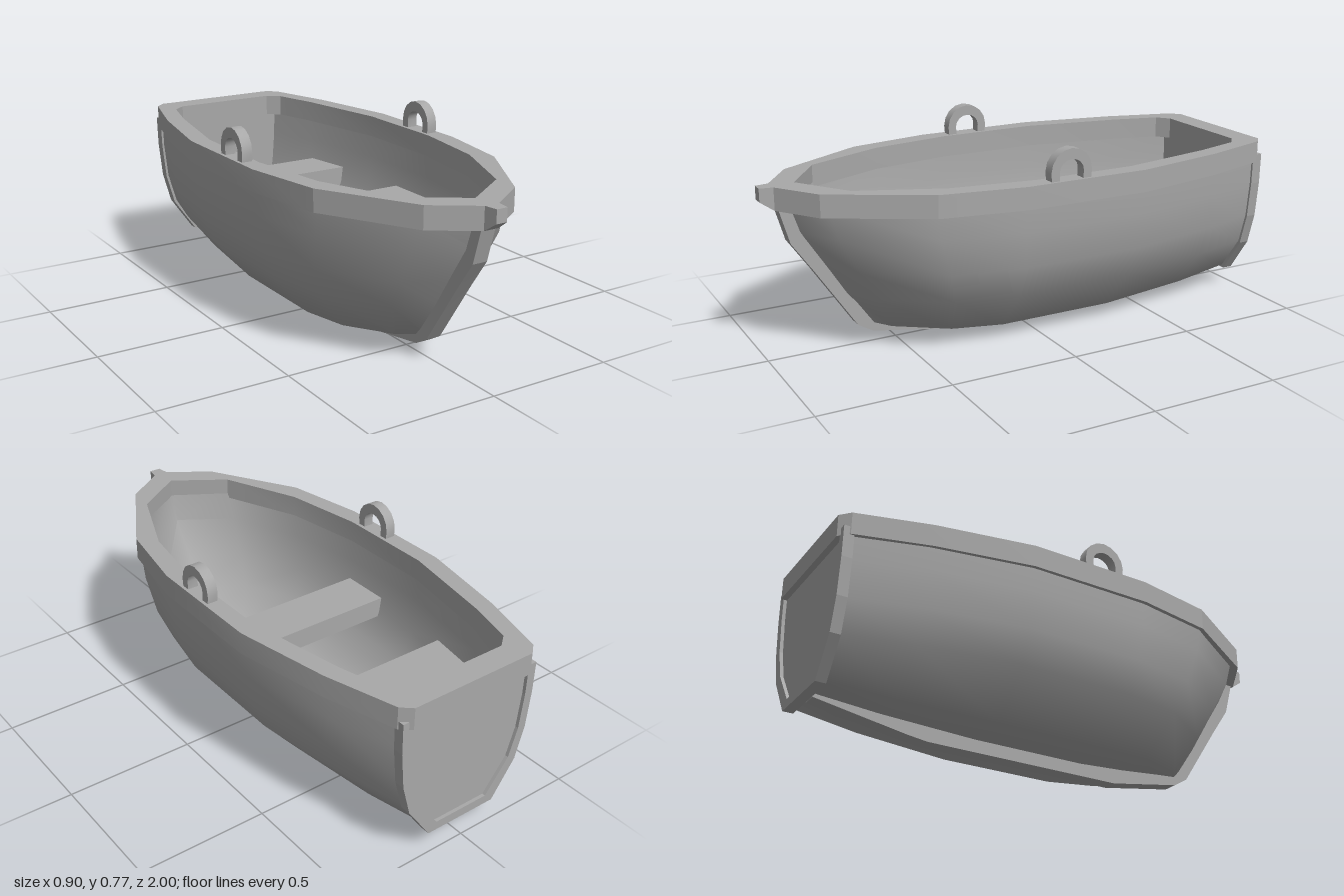
import * as THREE from 'three';
import { toCreasedNormals } from 'three/addons/utils/BufferGeometryUtils.js';

const grey = new THREE.MeshStandardMaterial({ color: 0xa8a8a8 });
grey.name = 'grey';

const shapeOf = (pts) => new THREE.Shape(pts.map(([x, y]) => new THREE.Vector2(x, y)));
// Right half of a symmetric outline, completed with its mirror image
const mirrored = (half) => [
  ...half,
  ...half.slice().reverse().filter(([x]) => x !== 0).map(([x, y]) => [-x, y]),
];
const extrude = (shape, depth, opts = {}) =>
  new THREE.ExtrudeGeometry(shape, { depth, bevelEnabled: false, curveSegments: 6, ...opts });
// Plan outline (x, z) raised into a slab
const slab = (shape, bottom, top) => extrude(shape, top - bottom).rotateX(Math.PI / 2).translate(0, top, 0);
// Side outline (z, y) given a width centred on x = 0
const sideCut = (shape, width, opts) => extrude(shape, width, opts).rotateY(-Math.PI / 2).translate(width / 2, 0, 0);

// Hull skin: each station is [z, half width at the top, chine height]
const ROW_Y = [0.6, 0.48, 0.34, 0.22];
const ROW_WIDTH = [1, 0.99, 0.94, 0.82, 0.48, 0];
const STEM_Z = [0.92, 0.88, 0.79, 0.715, 0.62, 0.6];

function halfSection([z, w, chine], stemInset, tip) {
  return ROW_WIDTH.map((f, r) => {
    const reach = (STEM_Z[r] - stemInset - 0.1) / (tip - 0.1);
    return [w * f, r < 4 ? ROW_Y[r] : chine, z > 0.1 ? 0.1 + (z - 0.1) * reach : z];
  });
}

function hullSkin(stations, stemInset, inward) {
  const tip = stations[stations.length - 1][0];
  const pos = [], idx = [];
  const cols = ROW_WIDTH.length * 2 - 1;
  stations.forEach((s, i) => {
    const half = halfSection(s, stemInset, tip);
    const ring = [...half, ...half.slice(0, -1).reverse().map(([x, y, z]) => [-x, y, z])];
    ring.forEach((p) => pos.push(...p));
    if (i === stations.length - 1) return;
    for (let k = 0; k < cols - 1; k++) {
      const a = i * cols + k, b = a + cols, c = a + 1, d = b + 1;
      if (inward) idx.push(a, c, b, b, c, d);
      else idx.push(a, b, c, b, d, c);
    }
  });
  const g = new THREE.BufferGeometry();
  g.setAttribute('position', new THREE.Float32BufferAttribute(pos, 3));
  g.setIndex(idx);
  return toCreasedNormals(g, 1.0);
}

export function createModel() {
  const boat = new THREE.Group();
  boat.name = 'rowingBoat';
  const add = (name, geometry) => {
    const m = new THREE.Mesh(geometry, grey);
    m.name = name;
    boat.add(m);
    return m;
  };

  // Outer and inner planking
  const outer = [
    [-0.96, 0.285, 0.085], [-0.7, 0.365, 0.065], [-0.32, 0.437, 0.05], [0.17, 0.432, 0.05],
    [0.49, 0.375, 0.062], [0.81, 0.185, 0.08], [0.92, 0, 0.085],
  ];
  const inner = [
    [-0.95, 0.235, 0.125], [-0.69, 0.32, 0.105], [-0.3, 0.388, 0.09], [0.1, 0.388, 0.09],
    [0.42, 0.335, 0.1], [0.73, 0.205, 0.12], [0.87, 0, 0.125],
  ];
  add('outerHull', hullSkin(outer, 0, false));
  add('innerHull', hullSkin(inner, 0.05, true));

  // Gunwale with a small nose at the bow
  const rim = shapeOf(mirrored([
    [0.26, -1], [0.3, -0.965], [0.38, -0.69], [0.45, -0.32], [0.447, 0.17],
    [0.39, 0.49], [0.19, 0.84], [0.03, 0.95], [0.022, 1],
  ]));
  rim.holes.push(shapeOf(mirrored([
    [0.21, -0.905], [0.26, -0.865], [0.31, -0.68], [0.38, -0.3], [0.38, 0.1],
    [0.33, 0.42], [0.2, 0.73], [0, 0.865],
  ])));
  const rimGeo = slab(rim, 0.57, 0.655);
  const p = rimGeo.attributes.position;
  for (let i = 0; i < p.count; i++) {
    if (p.getZ(i) > 0.97 && p.getY(i) < 0.6) p.setY(i, 0.605);
  }
  rimGeo.computeVertexNormals();
  add('gunwale', toCreasedNormals(rimGeo, 0.3));

  // Transom panel and the raised band around it
  const stern = (d) => mirrored(
    halfSection(outer[0], 0, 0.92).slice(0, 5).map(([x, y], r) => [x - d, y + [0, 0, 0.2, 0.6, 1][r] * d])
  );
  add('transom', extrude(shapeOf(stern(0.004)), 0.072).translate(0, 0, -0.977));
  const band = shapeOf([
    ...stern(-0.012).slice(0, 5), ...stern(-0.012).slice(5),
    ...stern(0.022).reverse(),
  ]);
  add('transomBand', extrude(band, 0.04).translate(0, 0, -0.99));

  // Keel and stem in one curved strip
  add('keel', toCreasedNormals(sideCut(shapeOf([
    [0.94, 0.58], [0.9, 0.44], [0.82, 0.325], [0.66, 0.085], [0.6, 0.05], [0.3, 0], [-0.51, 0],
    [-0.59, 0.01], [-0.95, 0.07], [-0.95, 0.1], [-0.6, 0.075], [0.3, 0.07], [0.57, 0.1],
    [0.62, 0.13], [0.77, 0.34], [0.86, 0.48], [0.89, 0.58],
  ]), 0.06), 0.3));

  // Thwarts
  const seat = (name, z0, w0, z1, w1) =>
    add(name, slab(shapeOf([[-w0, z0], [w0, z0], [w1, z1], [-w1, z1]]), 0.32, 0.4));
  seat('rearSeat', -0.67, 0.325, -0.47, 0.36);
  seat('middleSeat', -0.105, 0.39, 0.095, 0.385);

  // Arched oar holders on the gunwale
  const arch = [];
  const arc = (r, ry, reverse) => {
    const pts = [];
    for (let i = 0; i <= 8; i++) {
      const a = (Math.PI * i) / 8;
      pts.push([Math.cos(a) * r, 0.685 + Math.sin(a) * ry]);
    }
    pts.unshift([r * 0.95, 0.64]);
    pts.push([-r * 0.95, 0.64]);
    arch.push(...(reverse ? pts.reverse() : pts));
  };
  arc(0.084, 0.085, false);
  arc(0.05, 0.045, true);
  for (const side of [1, -1]) {
    const holder = add(side > 0 ? 'leftOarHolder' : 'rightOarHolder', toCreasedNormals(sideCut(shapeOf(arch), 0.042), 0.5));
    holder.position.set(side * 0.415, 0, -0.01);
  }

  return boat;
}
